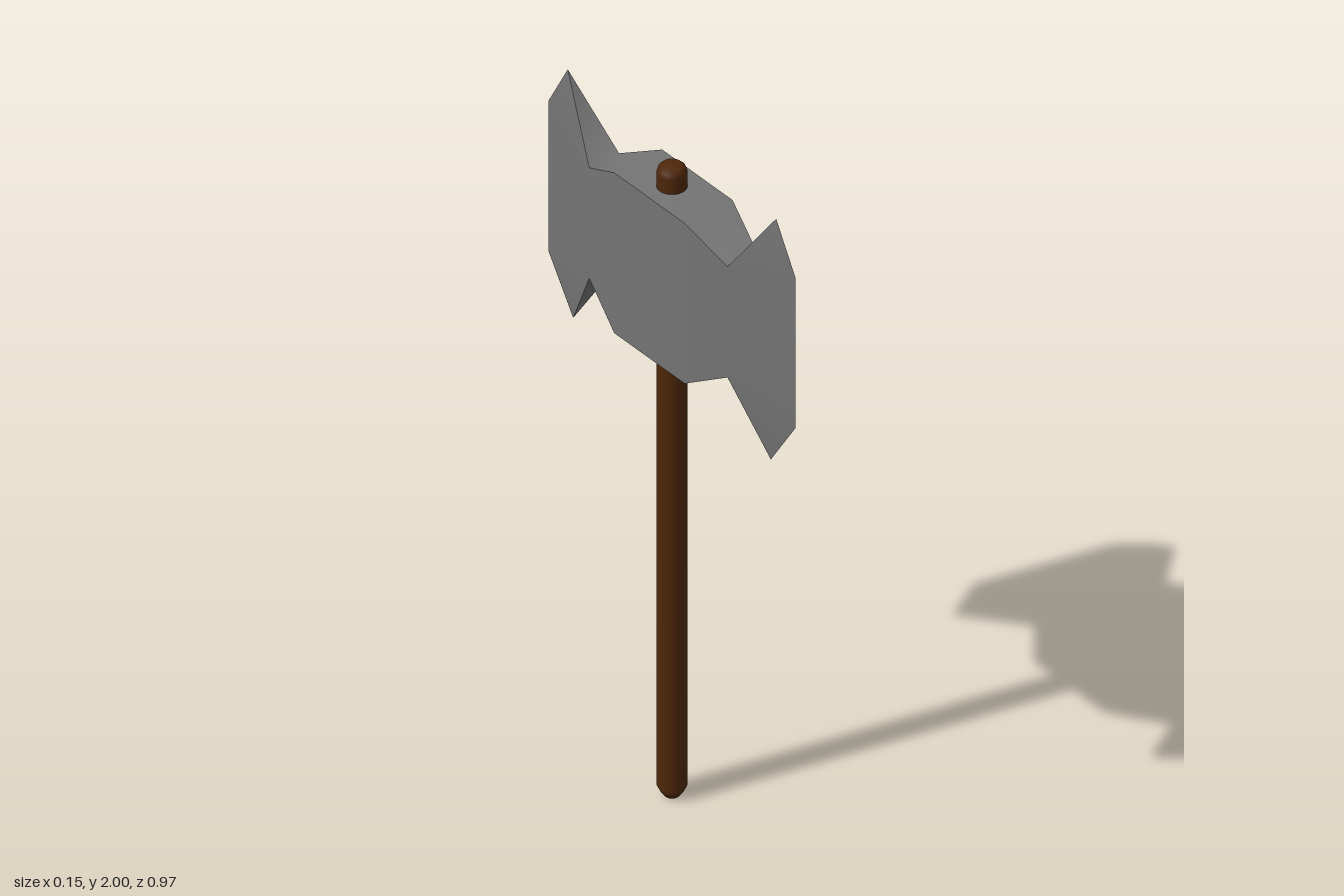
import * as THREE from 'three';
import { mergeGeometries, mergeVertices } from 'three/addons/utils/BufferGeometryUtils.js';

// One smooth strip of the head; seams between strips stay sharp.
function strip(faces) {
  const pos = [];
  for (const p of faces)
    for (let i = 1; i < p.length - 1; i++) pos.push(...p[0], ...p[i], ...p[i + 1]);
  const g = new THREE.BufferGeometry();
  g.setAttribute('position', new THREE.Float32BufferAttribute(pos, 3));
  const merged = mergeVertices(g);
  merged.computeVertexNormals();
  return merged;
}

// Double-bitted head: lofted block along z, ending in a flared wedge at each side.
function headGeometry() {
  // z, half thickness, bottom, top
  const rings = [
    [-0.265, 0.048, 1.46, 1.8],
    [-0.132, 0.077, 1.38, 1.873],
    [0.143, 0.077, 1.38, 1.873],
    [0.275, 0.048, 1.46, 1.8],
  ].map(([z, w, b, t]) => [[w, b, z], [w, t, z], [-w, t, z], [-w, b, z]]);
  const sides = [[], [], [], []]; // left, top, right, bottom

  // central block and tapering cheeks
  for (let k = 0; k < rings.length - 1; k++) {
    const a = rings[k], b = rings[k + 1];
    sides.forEach((faces, i) => {
      const j = (i + 1) % 4;
      faces.push([a[i], a[j], b[j], b[i]]);
    });
  }

  // flared blades: both faces meet in a knife edge at x = 0
  for (const end of [-1, 1]) {
    const [lb, lt, rt, rb] = rings[end < 0 ? 0 : 3];
    const tipTop = [0, 2, end * 0.407], edgeTop = [0, 1.86, end * 0.483];
    const edgeBot = [0, 1.4, end * 0.483], tipBot = [0, 1.248, end * 0.386];
    const add = (i, pts, flip) => sides[i].push(flip ? pts.reverse() : pts);
    for (const [i, nb, nt, flip] of [[0, lb, lt, end < 0], [2, rb, rt, end > 0]]) {
      add(i, [nt, tipTop, edgeTop], flip);
      add(i, [nb, nt, edgeTop, edgeBot], flip);
      add(i, [nb, edgeBot, tipBot], flip);
    }
    add(1, [lt, rt, tipTop], end < 0);
    add(3, [rb, lb, tipBot], end < 0);
  }
  return mergeGeometries(sides.map(strip));
}

export function createModel() {
  const group = new THREE.Group();

  // round wooden shaft with chamfered ends
  const profile = [
    [0, 0], [0.02, 0.002], [0.03, 0.016], [0.039, 0.035],
    [0.039, 1.915], [0.035, 1.928], [0.026, 1.937], [0, 1.937],
  ].map(([r, y]) => new THREE.Vector2(r, y));
  const handle = new THREE.Mesh(
    new THREE.LatheGeometry(profile, 24),
    new THREE.MeshStandardMaterial({ color: 0x4e270a })
  );
  handle.name = 'handle';

  // dark steel head
  const head = new THREE.Mesh(
    headGeometry(),
    new THREE.MeshStandardMaterial({ color: 0x747474 })
  );
  head.name = 'axeHead';

  group.add(handle, head);
  return group;
}
